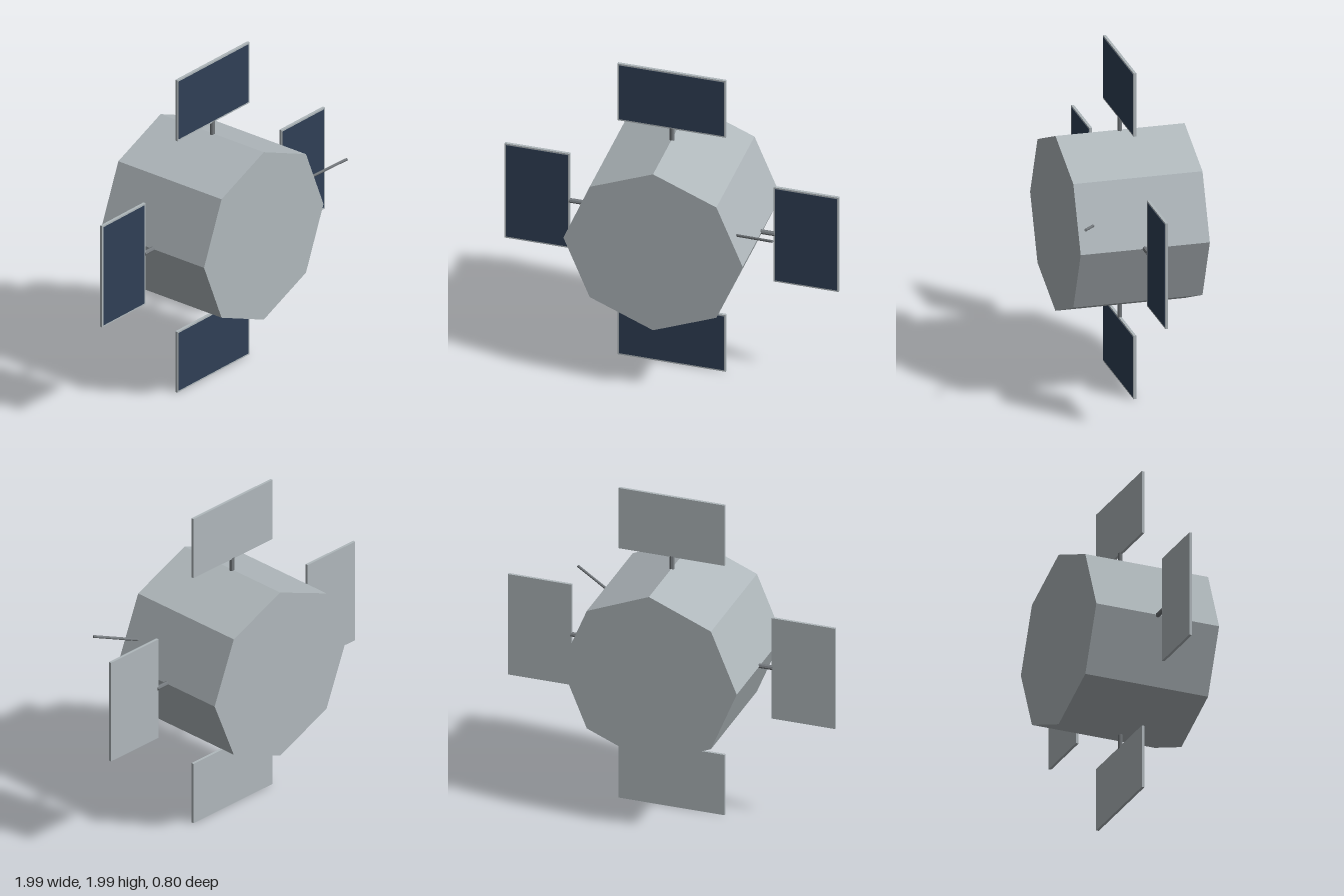
import * as THREE from 'three';

export function createModel() {
  const model = new THREE.Group();
  model.name = 'satellite';

  const material = (name, color) => {
    const m = new THREE.MeshStandardMaterial({ color, flatShading: true });
    m.name = name;
    return m;
  };
  const hull = material('hull grey', 0xb0b8bc);
  const metal = material('dark metal', 0x757a7e);
  const solar = material('solar blue', 0x2f3f55);

  const add = (parent, name, geometry, mat, x = 0, y = 0, z = 0) => {
    const mesh = new THREE.Mesh(geometry, mat);
    mesh.name = name;
    mesh.position.set(x, y, z);
    parent.add(mesh);
    return mesh;
  };

  // Octagonal hull with corners on the x and y axes
  const centreY = 1.003;
  const body = add(model, 'body', new THREE.CylinderGeometry(0.535, 0.535, 0.768, 8), hull, 0, centreY, -0.015);
  body.rotation.x = Math.PI / 2;

  // Four solar wings around the hull, each on a short strut
  const names = ['topWing', 'rightWing', 'bottomWing', 'leftWing'];
  names.forEach((name, i) => {
    const wing = new THREE.Group();
    wing.name = name;
    wing.position.set(0, centreY, -0.013);
    wing.rotation.z = i * Math.PI / 2;
    add(wing, 'strut', new THREE.CylinderGeometry(0.014, 0.014, 0.1, 8), metal, 0, 0.565);
    add(wing, 'panelFrame', new THREE.BoxGeometry(0.646, 0.388, 0.016), hull, 0, 0.803);
    add(wing, 'solarCells', new THREE.BoxGeometry(0.626, 0.368, 0.003), solar, 0, 0.803, 0.0085);
    model.add(wing);
  });

  // Slanted antenna rod
  const from = new THREE.Vector3(0.46, 1.147, 0.273);
  const to = new THREE.Vector3(0.72, 1.227, 0.392);
  const axis = to.clone().sub(from);
  const antenna = add(model, 'antenna', new THREE.CylinderGeometry(0.008, 0.008, axis.length(), 8), metal);
  antenna.position.copy(from).add(to).multiplyScalar(0.5);
  antenna.quaternion.setFromUnitVectors(new THREE.Vector3(0, 1, 0), axis.normalize());

  return model;
}
